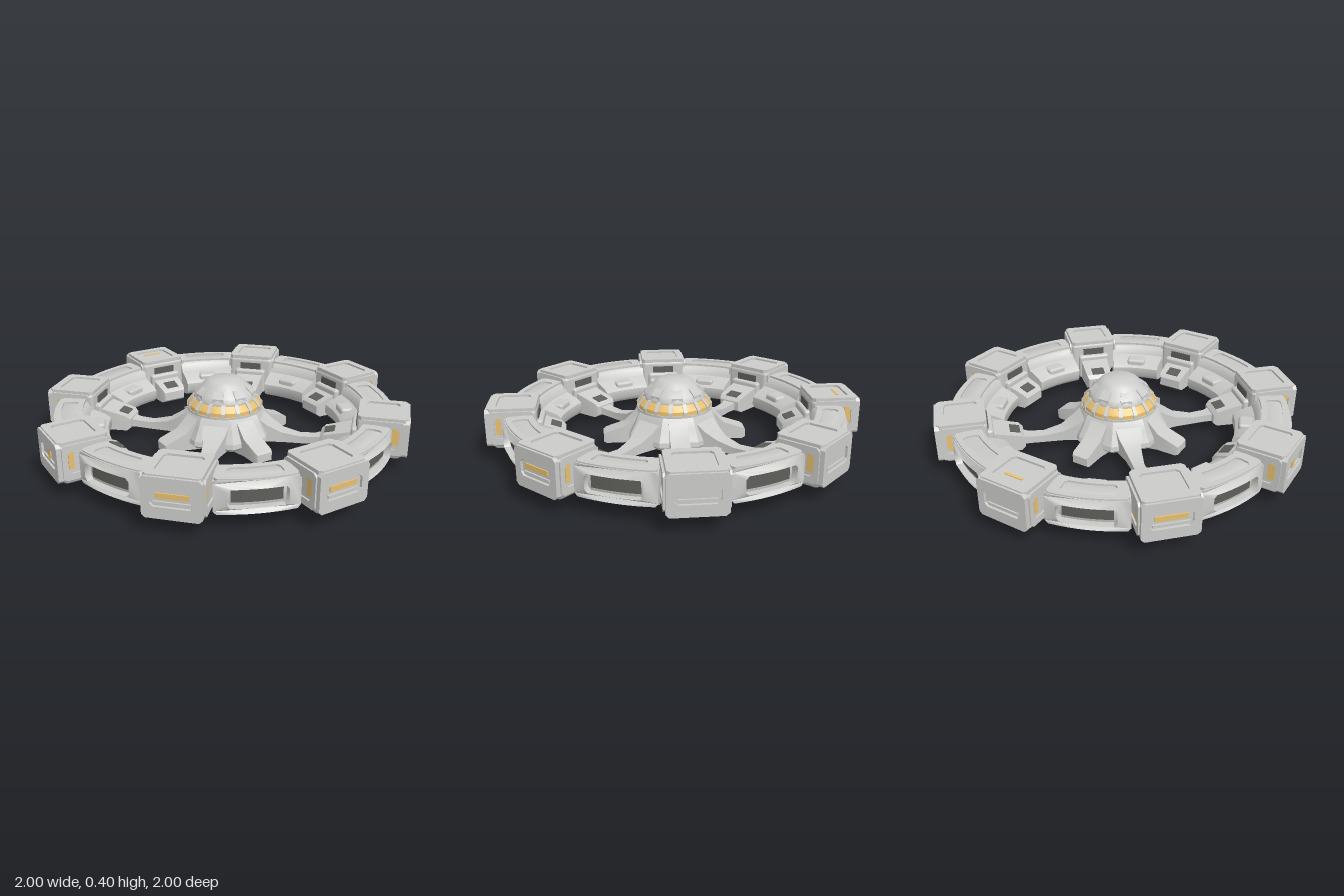
import * as THREE from 'three';
import { toCreasedNormals } from 'three/addons/utils/BufferGeometryUtils.js';
import { RoundedBoxGeometry } from 'three/addons/geometries/RoundedBoxGeometry.js';

const hull = new THREE.MeshStandardMaterial({ name: 'hull grey', color: 0xcbcbc9 });
const dark = new THREE.MeshStandardMaterial({ name: 'dark glass', color: 0x5e5e5a, side: THREE.DoubleSide });
const amber = new THREE.MeshStandardMaterial({ name: 'amber light', color: 0xe8c070 });

function add(parent, name, geo, mat, x = 0, y = 0, z = 0) {
  const m = new THREE.Mesh(geo, mat);
  m.name = name;
  m.position.set(x, y, z);
  parent.add(m);
  return m;
}

const crease = (g, a = 0.6) => toCreasedNormals(g.index ? g.toNonIndexed() : g, a);

// Rectangular sections [z, halfWidth, yBottom, yTop] joined along z
function loft(sections) {
  const pos = [], idx = [];
  for (const [z, w, b, t] of sections) pos.push(-w, b, z, w, b, z, w, t, z, -w, t, z);
  for (let i = 0; i < sections.length - 1; i++)
    for (let j = 0; j < 4; j++) {
      const a = i * 4 + j, b = i * 4 + (j + 1) % 4;
      idx.push(a, b, b + 4, a, b + 4, a + 4);
    }
  const e = (sections.length - 1) * 4;
  idx.push(0, 2, 1, 0, 3, 2, e, e + 1, e + 2, e, e + 2, e + 3);
  const g = new THREE.BufferGeometry();
  g.setAttribute('position', new THREE.Float32BufferAttribute(pos, 3));
  g.setIndex(idx);
  return crease(g, 0.5);
}

// Chamfered rectangle with long edges subdivided so that it can be bent
function rectPoints(w, h, cy, c, n = 8) {
  const p = [];
  for (let i = 0; i <= n; i++) p.push(new THREE.Vector2((w - c) * (2 * i / n - 1), cy - h));
  p.push(new THREE.Vector2(w, cy - h + c), new THREE.Vector2(w, cy + h - c));
  for (let i = n; i >= 0; i--) p.push(new THREE.Vector2((w - c) * (2 * i / n - 1), cy + h));
  p.push(new THREE.Vector2(-w, cy + h - c), new THREE.Vector2(-w, cy - h + c));
  return p;
}

// Raised frame with an opening; w, h are half sizes
function frame(w, h, hw, hh, depth, cy = 0, c = 0.016) {
  const s = new THREE.Shape(rectPoints(w, h, cy, c));
  s.holes.push(new THREE.Path(rectPoints(hw, hh, cy, c).reverse()));
  return new THREE.ExtrudeGeometry(s, { depth, bevelEnabled: false });
}

function remap(g, f) {
  const p = g.attributes.position;
  for (let i = 0; i < p.count; i++) p.setXYZ(i, ...f(p.getX(i), p.getY(i), p.getZ(i)));
  g.computeVertexNormals();
  return crease(g, 0.8);
}

// Curved habitat segment, centred on local +z
function ringSegment() {
  const g = new THREE.Group();
  g.name = 'ringSegment';
  const half = 0.218;
  const profile = [[0.655, 0.072], [0.7, 0.06], [0.82, 0.062], [0.87, 0.078], [0.89, 0.11], [0.89, 0.24],
    [0.88, 0.25], [0.775, 0.25], [0.75, 0.235], [0.735, 0.195], [0.66, 0.165], [0.635, 0.145], [0.632, 0.1]];
  const body = new THREE.ExtrudeGeometry(new THREE.Shape(profile.map(p => new THREE.Vector2(...p))),
    { depth: 2 * half, steps: 12, bevelEnabled: false });
  add(g, 'segmentBody', remap(body, (r, y, t) => [r * Math.sin(half - t), y, r * Math.cos(half - t)]), hull);
  // The frame leans in towards its upper and lower edges
  add(g, 'outerWindowFrame', remap(frame(half, 0.082, 0.15, 0.046, 0.045, 0.17), (a, y, d) => {
    const r = 0.88 + d - (d > 0 && Math.abs(y - 0.17) > 0.06 ? 0.014 : 0);
    return [r * Math.sin(a), y, r * Math.cos(a)];
  }), hull);
  add(g, 'outerWindow', new THREE.CylinderGeometry(0.893, 0.893, 0.07, 10, 1, true, -0.132, 0.264), dark, 0, 0.173, 0);
  add(g, 'roofFrame', remap(frame(half - 0.005, 0.07, 0.15, 0.04, 0.012, 0.835),
    (a, r, h) => [r * Math.sin(-a), 0.247 + h, r * Math.cos(a)]), hull);
  // Low block in the middle of the inner ledge
  add(g, 'ledgeBlock', new RoundedBoxGeometry(0.11, 0.07, 0.1, 2, 0.015), hull, 0, 0.155, 0.7);
  return g;
}

// Square docking block with its inner connector, centred on local +z
function ringBlock(diagonal, barSize) {
  const g = new THREE.Group();
  g.name = 'ringBlock';
  add(g, 'blockBody', new RoundedBoxGeometry(0.275, 0.2, 0.25, 3, 0.025), hull, 0, 0.183, 0.86);
  add(g, 'blockBase', new RoundedBoxGeometry(0.24, 0.06, 0.24, 3, 0.028), hull, 0, 0.093, 0.85);
  add(g, 'blockRoofFrame', crease(frame(0.132, 0.125, 0.095, 0.085, 0.02)), hull, 0, 0.274, 0.862).rotation.x = -Math.PI / 2;
  add(g, 'blockFaceFrame', crease(frame(0.138, 0.1, 0.1, 0.042, 0.025)), hull, 0, 0.187, 0.973);
  if (barSize) add(g, 'blockLightBar', new THREE.BoxGeometry(...barSize, 0.008), amber, 0, 0.196, 0.987);
  add(g, 'blockSill', new THREE.BoxGeometry(0.17, 0.014, 0.016), hull, 0, 0.162, 0.985);
  for (const s of [-1, 1]) {
    const f = add(g, 'blockSideFrame', crease(frame(0.115, 0.09, 0.09, 0.055, 0.01)), hull, s * 0.136, 0.19, 0.86);
    f.rotation.y = s * Math.PI / 2;
    // The light on the leading side is narrower
    add(g, 'sideLight', new THREE.BoxGeometry(0.008, 0.09, s < 0 ? 0.036 : 0.026), amber, s * 0.138, 0.2, 0.93);
  }
  add(g, 'innerSlot', new THREE.BoxGeometry(0.13, 0.042, 0.008), dark, 0, 0.228, 0.733);
  // Sloped connector with a dark hatch
  const z = diagonal ? 0.545 : 0.595;
  const slope = 0.05 / (0.76 - z - 0.02);
  const top = r => 0.145 + (r - z - 0.02) * slope;
  add(g, 'innerConnector', loft([[z, 0.066, 0.075, 0.125], [z + 0.02, 0.075, 0.06, 0.145],
    [0.76, 0.085, 0.06, 0.195]]), hull);
  add(g, 'connectorCollar', new RoundedBoxGeometry(0.19, 0.15, 0.05, 2, 0.015), hull, 0, 0.135, 0.73);
  const a = z + 0.021, b = z + 0.075;
  add(g, 'connectorHatch', loft([[a, 0.038, top(a) - 0.004, top(a) + 0.004], [b, 0.038, top(b) - 0.004, top(b) + 0.004]]), dark);
  return g;
}

function lathe(points, n, angle = 0.5) {
  const g = new THREE.LatheGeometry(points.map(p => new THREE.Vector2(...p)), n, n === 8 ? Math.PI / 8 : 0);
  g.deleteAttribute('normal');
  g.computeVertexNormals();
  return crease(g, angle);
}

function createHub() {
  const g = new THREE.Group();
  g.name = 'hub';
  add(g, 'hubSkirt', lathe([[0, 0.006], [0.09, 0.008], [0.12, 0.03], [0.25, 0.07], [0.272, 0.09], [0.268, 0.115],
    [0.235, 0.175], [0.215, 0.22], [0.19, 0.25], [0, 0.25]], 8, 0.3), hull);
  add(g, 'hubCollar', lathe([[0.17, 0.225], [0.206, 0.233], [0.206, 0.244], [0.17, 0.248]], 32), hull);
  add(g, 'lightBand', lathe([[0.202, 0.24], [0.2, 0.265], [0.174, 0.294], [0.1, 0.296]], 32), amber);
  add(g, 'dome', lathe([[0.12, 0.285], [0.168, 0.288], [0.17, 0.3], [0.156, 0.33], [0.13, 0.35],
    [0.108, 0.378], [0.08, 0.396], [0, 0.4]], 16, 0.7), hull);
  add(g, 'bottomLight', new THREE.CylinderGeometry(0.018, 0.018, 0.008, 12), amber, 0, 0.004, 0);
  // Ribs dividing the light band
  for (let i = 0; i < 16; i++) {
    const arm = new THREE.Group();
    arm.rotation.y = (i + 0.5) * Math.PI / 8;
    arm.name = 'bandRibArm';
    g.add(arm);
    add(arm, 'bandRib', loft([[0.155, 0.01, 0.26, 0.306], [0.174, 0.01, 0.25, 0.3], [0.206, 0.01, 0.24, 0.264]]), hull);
  }
  for (let i = 0; i < 8; i++) {
    const arm = new THREE.Group();
    arm.rotation.y = i * Math.PI / 4;
    arm.name = i % 2 ? 'spokeArm' : 'legArm';
    g.add(arm);
    add(arm, 'domeLobe', loft([[0.08, 0.022, 0.3, 0.375], [0.125, 0.026, 0.3, 0.358], [0.16, 0.03, 0.3, 0.328]]), hull);
    if (i % 2) {
      // Diagonal spoke reaching the ring
      add(arm, 'spoke', loft([[0.17, 0.075, 0.07, 0.225], [0.25, 0.062, 0.07, 0.165], [0.32, 0.042, 0.068, 0.125],
        [0.42, 0.03, 0.065, 0.105], [0.5, 0.032, 0.07, 0.11], [0.56, 0.045, 0.075, 0.125]]), hull);
      add(arm, 'undersidePanel', loft([[0.13, 0.035, 0.029, 0.036], [0.21, 0.05, 0.055, 0.062]]), dark);
    } else {
      // Short landing leg
      add(arm, 'hubLeg', loft([[0.1, 0.04, 0.025, 0.23], [0.2, 0.05, 0.04, 0.215], [0.27, 0.05, 0.05, 0.145],
        [0.375, 0.05, 0.05, 0.11], [0.39, 0.044, 0.056, 0.1]]), hull);
    }
  }
  return g;
}

export function createModel() {
  const model = new THREE.Group();
  model.name = 'ringStation';
  model.add(createHub());
  // Outer light bar of each block, counted from the front towards +x; some are unlit
  const wide = [0.15, 0.026], upright = [0.034, 0.07];
  const bars = [wide, wide, null, null, null, wide, upright, wide];
  bars.forEach((bar, i) => {
    const diagonal = i % 2 === 1;
    const block = ringBlock(diagonal, bar);
    block.rotation.y = i * Math.PI / 4;
    if (diagonal) block.translateZ(-0.015);
    const seg = ringSegment();
    seg.rotation.y = (i + 0.5) * Math.PI / 4;
    model.add(block, seg);
  });
  // Roof light on the rear block
  add(model, 'roofLight', new THREE.BoxGeometry(0.1, 0.006, 0.014), amber, 0, 0.284, -0.9);
  return model;
}
